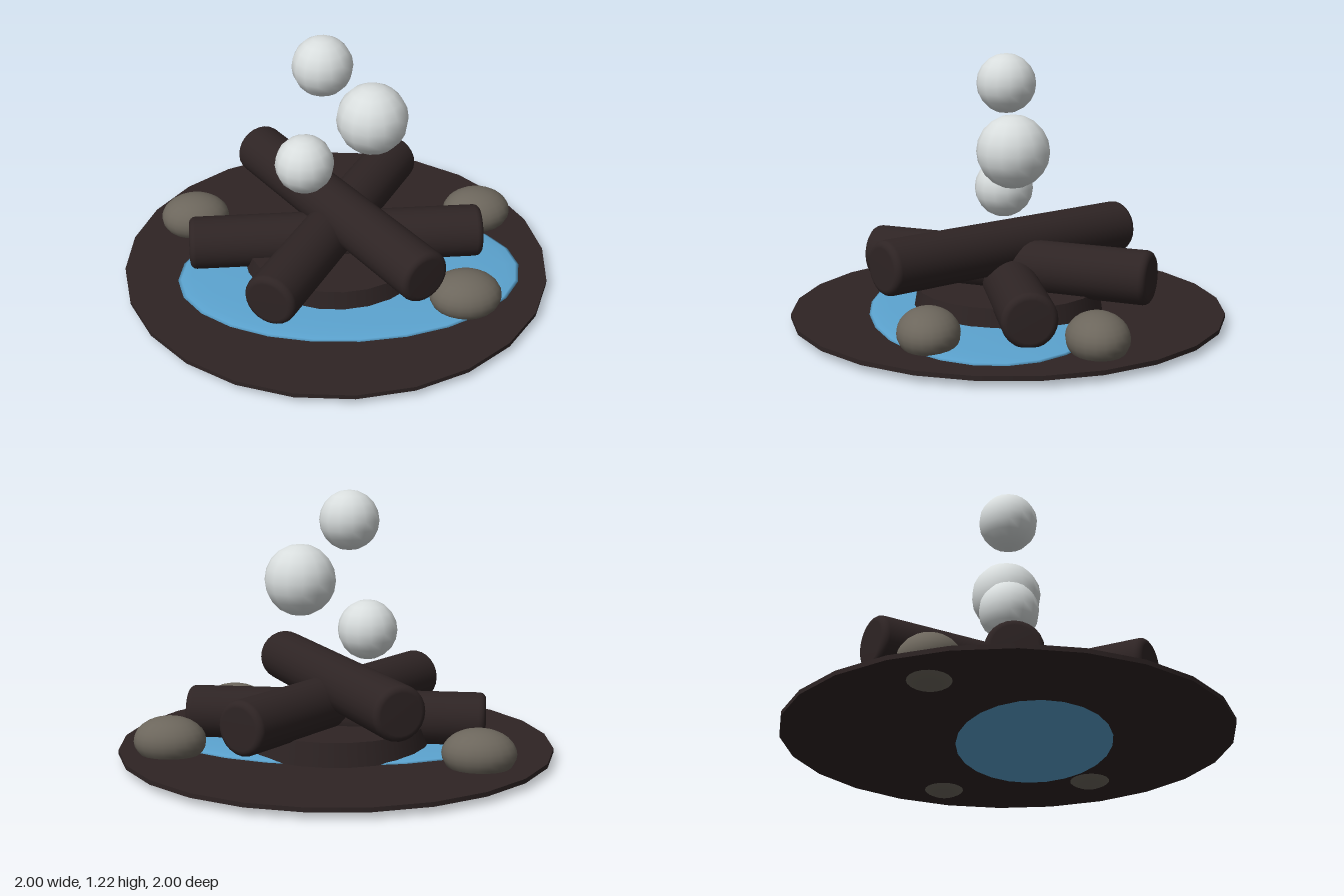
import * as THREE from 'three';

export function createModel() {
  const group = new THREE.Group();
  const mat = (name, color) => {
    const m = new THREE.MeshStandardMaterial({ color });
    m.name = name;
    return m;
  };
  const charred = mat('charred wood', 0x2e2424);
  const water = mat('water blue', 0x5ba3cf);
  const stone = mat('stone grey', 0x6c665c);
  const smoke = mat('smoke white', 0xd8dddd);

  const add = (name, geometry, material, x = 0, y = 0, z = 0) => {
    const mesh = new THREE.Mesh(geometry, material);
    mesh.name = name;
    mesh.position.set(x, y, z);
    group.add(mesh);
    return mesh;
  };

  // Scorched ground disc
  add('groundDisc', new THREE.CylinderGeometry(1, 1, 0.02, 24), charred, 0, 0.04, 0);

  // Puddle: a very flat ellipsoid that shows on both sides of the disc
  add('puddle', new THREE.SphereGeometry(1, 24, 16), water, 0.055, 0.05, 0.12)
    .scale.set(0.805, 0.027, 0.525);

  // Ash bed under the logs
  add('ashBed', new THREE.CylinderGeometry(0.42, 0.44, 0.117, 24), charred, 0, 0.098, 0);

  // Three crossed logs with rounded rims, stacked upwards
  const half = 0.69, radius = 0.123, bevel = 0.03;
  const profile = [new THREE.Vector2(0, -half)];
  for (const side of [-1, 1]) {
    for (let i = 0; i <= 4; i++) {
      const a = (side < 0 ? i : 4 - i) * Math.PI / 8;
      profile.push(new THREE.Vector2(
        radius - bevel + bevel * Math.sin(a),
        side * (half - bevel + bevel * Math.cos(a))
      ));
    }
  }
  profile.push(new THREE.Vector2(0, half));
  const logGeometry = new THREE.LatheGeometry(profile, 24);
  logGeometry.rotateZ(-Math.PI / 2);
  [[0, 0.177], [1, 0.252], [-1, 0.337]].forEach(([turn, y], i) => {
    add('log' + (i + 1), logGeometry, charred, 0, y, 0).rotation.y = turn * Math.PI / 3;
  });

  // Stones around the rim
  const stoneGeometry = new THREE.SphereGeometry(1, 20, 14);
  [[0.555, 0.415], [0.72, -0.28], [-0.667, -0.338]].forEach(([x, z], i) => {
    add('stone' + (i + 1), stoneGeometry, stone, x, 0.11, z).scale.set(0.165, 0.11, 0.137);
  });

  // Rising smoke puffs
  [[-0.145, 0.585, 0.137], [0.165, 0.808, 0.165], [-0.06, 1.085, 0.137]].forEach(([x, y, r], i) => {
    add('smokePuff' + (i + 1), new THREE.SphereGeometry(r, 14, 10), smoke, x, y, 0);
  });

  return group;
}
